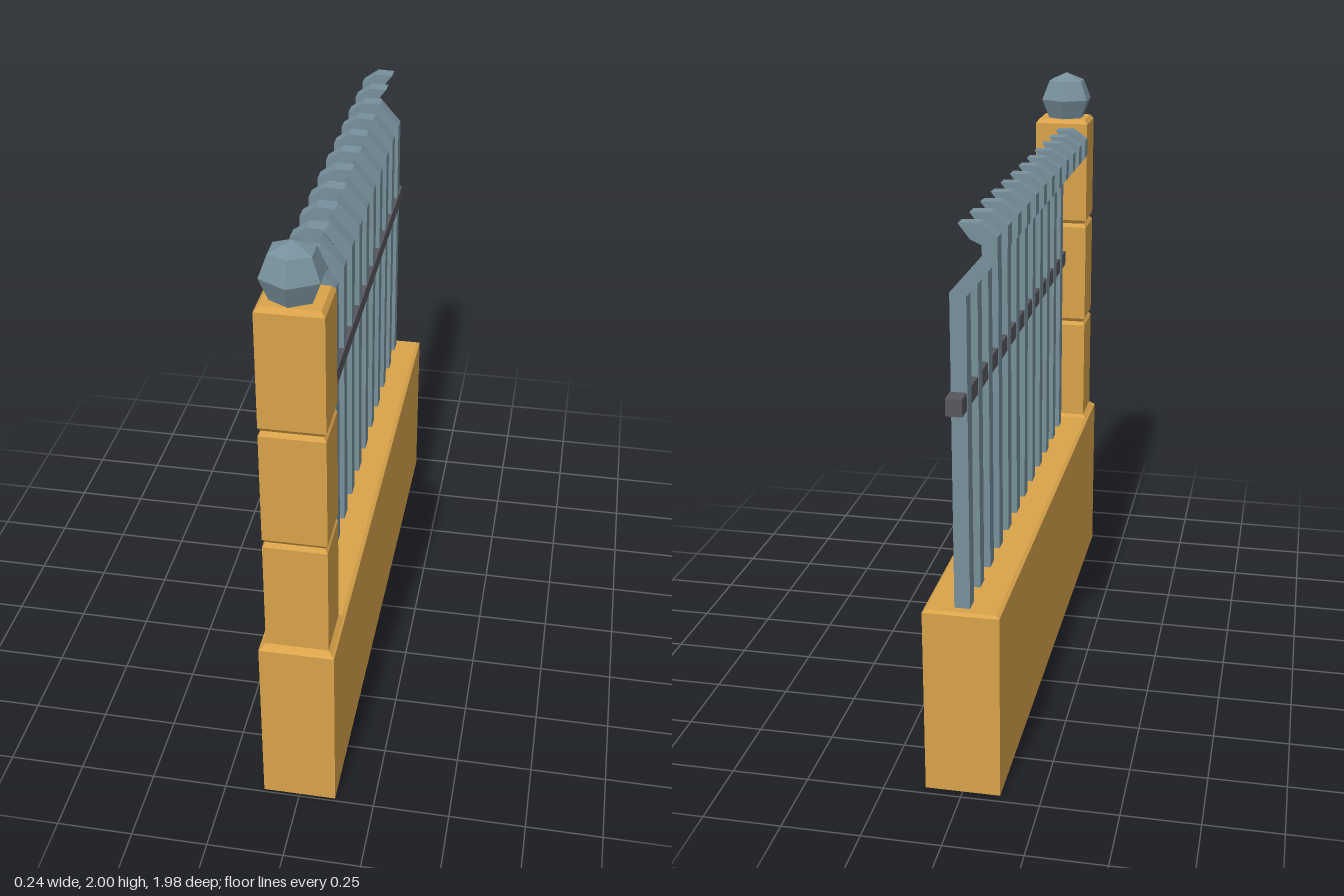
import * as THREE from 'three';

const paint = (color) => new THREE.MeshStandardMaterial({ color, flatShading: true, side: THREE.DoubleSide });

// Stacked rectangular rings [y, half x, half z], closed on top and open below
function rectLoft(rings) {
  const corners = [[1, 1], [1, -1], [-1, -1], [-1, 1]];
  const pos = [];
  const index = [];
  for (const [y, hx, hz] of rings) {
    for (const [sx, sz] of corners) pos.push(sx * hx, y, sz * hz);
  }
  for (let r = 0; r < rings.length - 1; r++) {
    for (let i = 0; i < 4; i++) {
      const a = r * 4 + i, b = r * 4 + (i + 1) % 4;
      index.push(a, b, b + 4, a, b + 4, a + 4);
    }
  }
  const t = (rings.length - 1) * 4;
  index.push(t, t + 1, t + 2, t, t + 2, t + 3);
  const g = new THREE.BufferGeometry();
  g.setAttribute('position', new THREE.Float32BufferAttribute(pos, 3));
  g.setIndex(index);
  const flat = g.toNonIndexed();
  flat.computeVertexNormals();
  return flat;
}

export function createModel() {
  const group = new THREE.Group();
  const stone = paint(0xd9a34a);
  const steel = paint(0x78909c);
  const darkSteel = paint(0x58575e);

  const add = (name, geometry, material, x = 0, y = 0, z = 0) => {
    const mesh = new THREE.Mesh(geometry, material);
    mesh.name = name;
    mesh.position.set(x, y, z);
    group.add(mesh);
    return mesh;
  };

  // Low wall, hollow underneath, with a narrow chamfer round the top
  add('baseWall', rectLoft([[0, 0.12, 0.98], [0.615, 0.12, 0.98], [0.622, 0.108, 0.968]]), stone, 0, 0, 0.01);

  // Pillar of three chamfered blocks on a small sloping collar
  const rings = [[0.615, 0.118, 0.103], [0.632, 0.1, 0.085]];
  for (const joint of [1.025, 1.425]) {
    rings.push([joint - 0.014, 0.1, 0.085], [joint, 0.09, 0.075], [joint + 0.014, 0.1, 0.085]);
  }
  rings.push([1.815, 0.1, 0.085], [1.83, 0.088, 0.073]);
  add('pillar', rectLoft(rings), stone, 0, 0, 0.885);

  // Six-sided ball on the pillar
  const ball = new THREE.SphereGeometry(0.1, 6, 4);
  ball.rotateY(Math.PI / 2);
  add('pillarBall', ball, steel, -0.005, 1.9, 0.885);

  // Pickets: side outline of a post with a hooked tip, extruded along z
  const width = 0.054;
  const outline = [
    [-0.022, 0.61], [0.027, 0.61], [0.027, 1.61], [-0.068, 1.72], [-0.068, 1.75], [-0.035, 1.765],
    [0, 1.81], [-0.06, 1.812], [-0.113, 1.775], [-0.113, 1.708], [-0.022, 1.6],
  ];
  const picketShape = new THREE.Shape(outline.map(([x, y]) => new THREE.Vector2(x, y)));
  const picketGeometry = new THREE.ExtrudeGeometry(picketShape, { depth: width, bevelEnabled: false });
  for (let i = 0; i < 12; i++) {
    add('picket', picketGeometry, steel, 0, 0, 0.697 - i * 0.1456 - width / 2);
  }

  // Rail tying the pickets to the pillar
  add('rail', new THREE.BoxGeometry(0.05, 0.055, 1.81), darkSteel, 0.005, 1.287, -0.085);

  return group;
}
